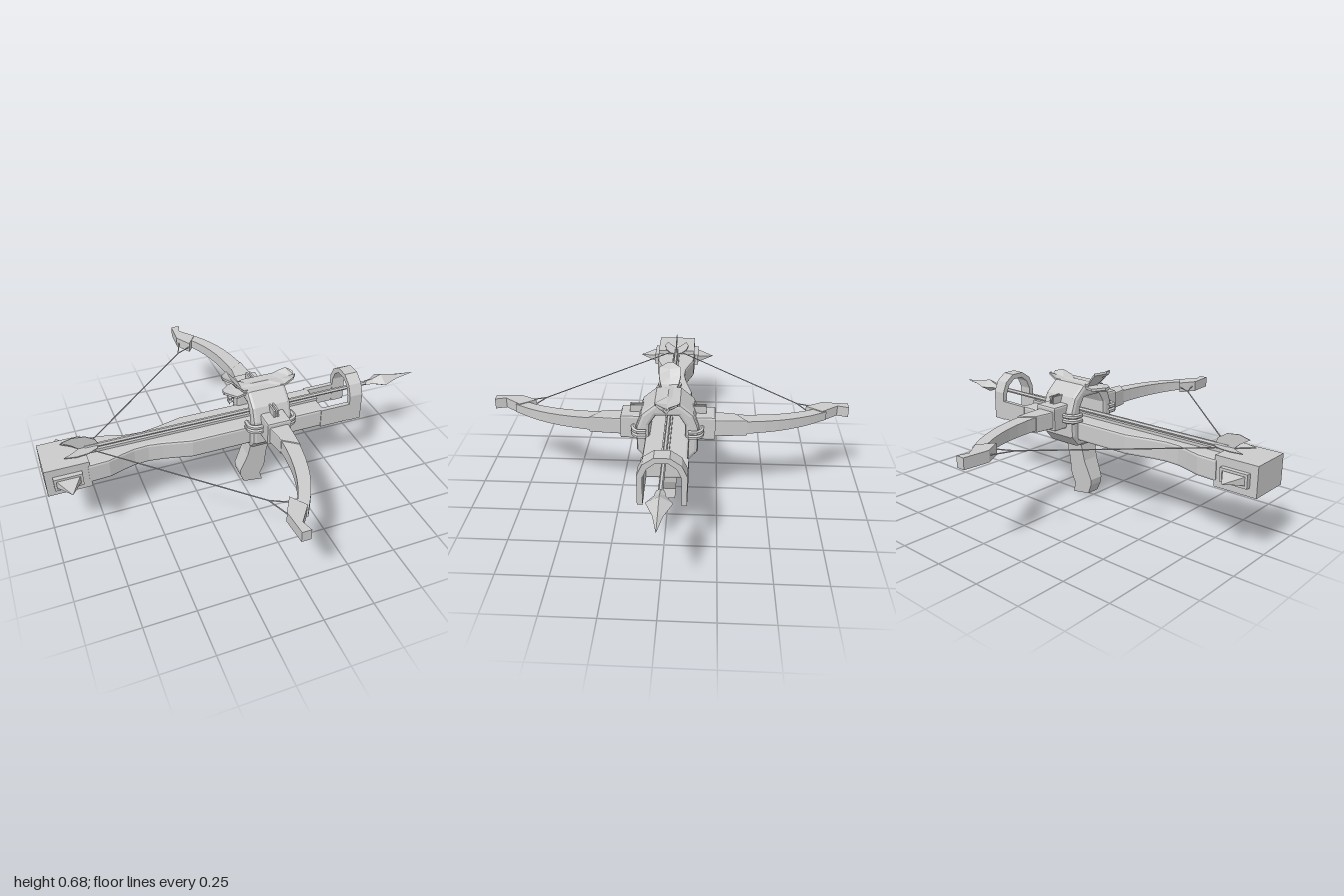
import * as THREE from 'three';

const mat = new THREE.MeshStandardMaterial({ color: 0xcccccc, flatShading: true });
const thin = new THREE.MeshStandardMaterial({ color: 0xcccccc, flatShading: true, side: THREE.DoubleSide });
const V = (x, y, z) => new THREE.Vector3(x, y, z);

function add(parent, name, geometry, material = mat) {
  const mesh = new THREE.Mesh(geometry, material);
  mesh.name = name;
  parent.add(mesh);
  return mesh;
}

// Box given by its lower and upper bounds
function box(parent, name, x0, x1, y0, y1, z0, z1) {
  const g = new THREE.BoxGeometry(x1 - x0, y1 - y0, z1 - z0);
  return add(parent, name, g.translate((x0 + x1) / 2, (y0 + y1) / 2, (z0 + z1) / 2));
}

const shapeOf = pts => new THREE.Shape(pts.map(p => new THREE.Vector2(...p)));
const mirrored = pts => [...pts, ...pts.slice().reverse().map(([a, b]) => [-a, b])];

function extrude(shape, depth, bevel = 0) {
  return new THREE.ExtrudeGeometry(shape, {
    depth: depth - 2 * bevel, bevelEnabled: bevel > 0, bevelSize: bevel,
    bevelThickness: bevel, bevelOffset: -bevel, bevelSegments: 2,
  }).translate(0, 0, bevel);
}

// Plan outline in (x, z), extruded upwards from y0 to y1
function slab(pts, y0, y1, bevel) {
  return extrude(shapeOf(pts.map(([x, z]) => [x, -z])), y1 - y0, bevel).rotateX(-Math.PI / 2).translate(0, y0, 0);
}

// Section in (z, y), extruded along x
function alongX(outer, inner, x0, x1, bevel) {
  const shape = shapeOf(mirrored(outer));
  if (inner) shape.holes.push(new THREE.Path(mirrored(inner).map(p => new THREE.Vector2(...p))));
  return extrude(shape, x1 - x0, bevel).rotateY(Math.PI / 2).translate(x0, 0, 0);
}

// Skin over equal rings of points, closed at both ends
function loft(rings) {
  const n = rings[0].length, idx = [];
  for (let i = 0; i + 1 < rings.length; i++)
    for (let j = 0; j < n; j++) {
      const a = i * n + j, b = i * n + (j + 1) % n;
      idx.push(a, b, b + n, a, b + n, a + n);
    }
  const last = (rings.length - 1) * n;
  for (let j = 1; j < n - 1; j++) idx.push(0, j + 1, j, last, last + j, last + j + 1);
  const g = new THREE.BufferGeometry();
  g.setAttribute('position', new THREE.Float32BufferAttribute(rings.flat(2), 3));
  g.setIndex(idx);
  g.computeVertexNormals();
  return g;
}

function rod(parent, name, a, b, r) {
  return add(parent, name, new THREE.TubeGeometry(new THREE.LineCurve3(a, b), 1, r, 6));
}

// Everything that occurs once on each side
function buildSide() {
  const s = new THREE.Group();

  // Limb: curved, tapering rectangular bar
  const path = new THREE.CatmullRomCurve3([V(0.112, 0.455, 0.2), V(0.112, 0.455, 0.36), V(0.085, 0.455, 0.53),
    V(0.04, 0.455, 0.66), V(-0.02, 0.455, 0.77)]);
  const rings = [];
  for (let i = 0; i <= 10; i++) {
    const t = i / 10, p = path.getPoint(t), d = path.getTangent(t);
    const w = 0.04 - 0.015 * t, h = 0.037 - 0.015 * t;
    rings.push([[1, 1], [-1, 1], [-1, -1], [1, -1]].map(([u, v]) => [p.x + u * w * d.z, p.y + v * h, p.z - u * w * d.x]));
  }
  add(s, 'limb', loft(rings));
  add(s, 'limbSleeve', slab([[0.06, 0.22], [0.16, 0.22], [0.148, 0.385], [0.075, 0.33]], 0.41, 0.495, 0.006));
  add(s, 'limbTip', slab([[-0.094, 0.77], [-0.045, 0.685], [0.008, 0.76], [-0.056, 0.845], [-0.04, 0.9], [-0.085, 0.9]], 0.428, 0.482));

  // Limb mount and buckle
  add(s, 'limbMount', slab([[0.05, 0.12], [0.172, 0.12], [0.172, 0.23], [0.05, 0.23]], 0.395, 0.518, 0.01));
  box(s, 'mountPlate', 0.07, 0.15, 0.42, 0.49, 0.22, 0.238);
  for (const x of [0.1, 0.118]) box(s, 'buckleProng', x, x + 0.009, 0.5, 0.555, 0.12, 0.185);
  box(s, 'buckleBar', 0.1, 0.127, 0.515, 0.535, 0.12, 0.18);

  // Cords lashed round the housing
  for (const y of [0.44, 0.465]) {
    const cord = new THREE.CatmullRomCurve3([V(-0.008, y, 0.1), V(-0.008, y, 0.145), V(0.025, y, 0.165),
      V(0.195, y, 0.165), V(0.228, y, 0.145), V(0.228, y, 0.1)], false, 'catmullrom', 0.2);
    add(s, 'lashing', new THREE.TubeGeometry(cord, 24, 0.012, 6));
  }

  // String with its forked end
  const fork = V(-0.125, 0.455, 0.65);
  rod(s, 'string', V(-0.79, 0.455, 0), fork, 0.003);
  rod(s, 'stringFork', fork, V(-0.04, 0.455, 0.695), 0.003);
  rod(s, 'stringFork', fork, V(-0.08, 0.455, 0.765), 0.003);

  // Spike in a frame on the butt
  const spike = new THREE.ConeGeometry(Math.SQRT1_2, 0.1, 4).rotateY(Math.PI / 4).rotateX(Math.PI / 2);
  add(s, 'buttSpike', spike.scale(0.115, 0.04, 1).translate(-0.897, 0.377, 0.17));
  const frame = shapeOf([[-0.965, 0.345], [-0.83, 0.345], [-0.83, 0.41], [-0.965, 0.41]]);
  frame.holes.push(new THREE.Path([[-0.953, 0.357], [-0.953, 0.398], [-0.842, 0.398], [-0.842, 0.357]].map(p => new THREE.Vector2(...p))));
  add(s, 'spikeFrame', extrude(frame, 0.03).translate(0, 0, 0.1));

  // Fork arm joining the stock to the front arch
  box(s, 'forkArm', 0.4, 0.57, 0.328, 0.428, 0.086, 0.11);
  return s;
}

export function createModel() {
  const model = new THREE.Group();
  model.name = 'crossbow';

  // Stock, rail and butt
  const half = [[-0.8, 0.11], [-0.7, 0.105], [-0.63, 0.082], [-0.57, 0.065], [-0.5, 0.061], [-0.43, 0.072], [-0.29, 0.106], [0.42, 0.106]];
  const plan = [...half, ...half.slice().reverse().map(([x, z]) => [x, -z])];
  add(model, 'stock', slab(plan, 0.328, 0.43, 0.012));
  box(model, 'rail', -0.79, 0.42, 0.425, 0.444, -0.018, 0.018);
  box(model, 'butt', -1, -0.79, 0.305, 0.45, -0.106, 0.106);

  // Housing over the stock
  add(model, 'housing', alongX(
    [[0.1, 0.295], [0.148, 0.35], [0.15, 0.48], [0.125, 0.55], [0.06, 0.605]],
    [[0.085, 0.38], [0.085, 0.49], [0.055, 0.54]], 0.01, 0.215, 0.018));

  // Front arch: legs and faceted crown in one outline
  const outer = [[0.11, 0.325], [0.11, 0.475], [0.085, 0.53], [0.035, 0.565]];
  const inner = [[0.03, 0.538], [0.065, 0.51], [0.085, 0.465], [0.085, 0.325]];
  add(model, 'frontArch', extrude(shapeOf([...outer, ...outer.slice().reverse().map(([a, b]) => [-a, b]),
    ...inner.slice().reverse().map(([a, b]) => [-a, b]), ...inner]), 0.07).rotateY(Math.PI / 2).translate(0.56, 0, 0));

  // Grip: front-facing outline narrowing downwards
  const grip = extrude(shapeOf([[0.045, 0.32], [0.022, 0.2], [-0.018, 0.1], [-0.015, 0.07], [0.005, 0.02], [0.11, 0.004],
    [0.096, 0.055], [0.118, 0.11], [0.124, 0.2], [0.145, 0.32]]), 0.11).translate(0, 0, -0.055);
  const gp = grip.attributes.position;
  for (let i = 0; i < gp.count; i++) gp.setZ(i, gp.getZ(i) * (0.62 + 1.2 * gp.getY(i)));
  grip.computeVertexNormals();
  add(model, 'grip', grip);
  box(model, 'gripCollar', 0.025, 0.2, 0.29, 0.33, -0.07, 0.07);

  // Leaf ornament: [x, half width, middle height, edge height]
  const leaf = rows => loft(rows.map(([x, w, m, e]) =>
    [[x, m, 0], [x, e, w], [x, e - 0.012, w], [x, m - 0.02, 0], [x, e - 0.012, -w], [x, e, -w]]));
  add(model, 'leafCrest', leaf([[-0.09, 0.015, 0.6, 0.602], [-0.04, 0.06, 0.6, 0.595], [0.06, 0.035, 0.612, 0.6],
    [0.14, 0.035, 0.612, 0.6], [0.21, 0.06, 0.605, 0.61], [0.26, 0.05, 0.61, 0.63], [0.285, 0.015, 0.61, 0.625]]), thin);
  add(model, 'leafCurl', leaf([[-0.095, 0.012, 0.685, 0.685], [-0.055, 0.055, 0.665, 0.675], [-0.03, 0.055, 0.63, 0.645],
    [0, 0.045, 0.605, 0.61], [0.05, 0.03, 0.6, 0.6]]), thin);

  // Bolt: shaft, four-sided head and vanes
  rod(model, 'boltShaft', V(-0.79, 0.456, 0), V(0.72, 0.456, 0), 0.011);
  const head = [[0, 0.7], [0.018, 0.71], [0.026, 0.75], [0.058, 0.8], [0.022, 0.89], [0, 1]];
  add(model, 'boltHead', new THREE.LatheGeometry(head.map(p => new THREE.Vector2(...p)), 4)
    .rotateZ(-Math.PI / 2).scale(1, 0.58, 1).translate(0, 0.456, 0));
  const vane = [[-0.72, 0.45], [-0.735, 0.49], [-0.78, 0.518], [-0.84, 0.526], [-0.895, 0.512], [-0.85, 0.485], [-0.82, 0.458]];
  add(model, 'boltVane', extrude(shapeOf(vane), 0.004).translate(0, 0, -0.002));
  for (const side of [1, -1])
    add(model, 'boltVane', extrude(shapeOf(vane), 0.004).translate(0, -0.456, -0.002)
      .rotateX(side * 1.45).translate(0, 0.456, 0));

  // Mirrored halves
  for (const [name, sign] of [['frontSide', 1], ['backSide', -1]]) {
    const side = buildSide();
    side.name = name;
    side.scale.z = sign;
    model.add(side);
  }
  return model;
}
